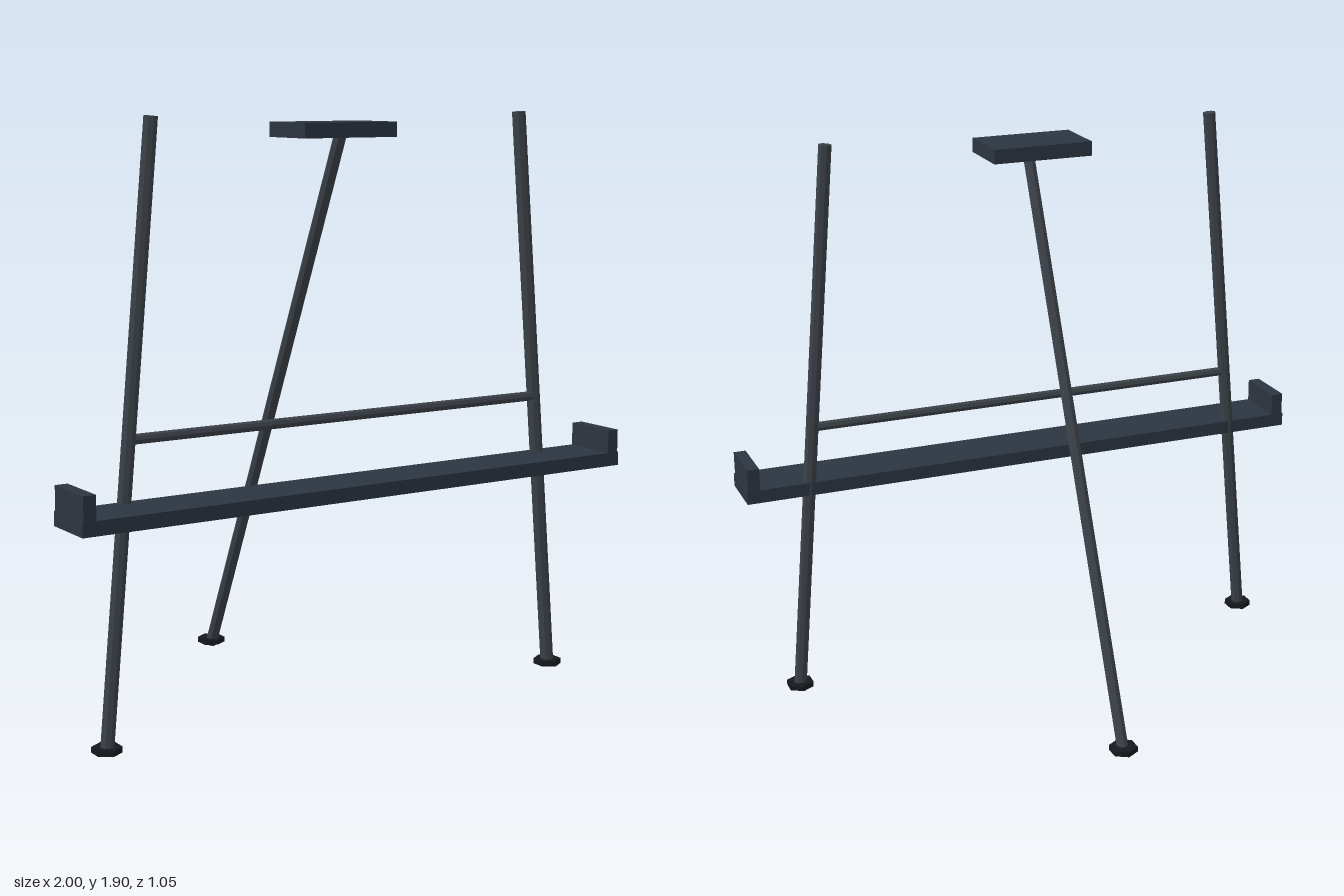
import * as THREE from 'three';

export function createModel() {
  const model = new THREE.Group();
  model.name = 'easel';

  const mat = (color) => new THREE.MeshStandardMaterial({ color, flatShading: true });
  const slate = mat(0x2c3540);
  const steel = mat(0x3b4148);
  const rubber = mat(0x15181c);

  const add = (name, geometry, material) => {
    const mesh = new THREE.Mesh(geometry, material);
    mesh.name = name;
    model.add(mesh);
    return mesh;
  };

  // Straight rod between two points
  const rod = (name, from, to, radius) => {
    const a = new THREE.Vector3(...from);
    const b = new THREE.Vector3(...to);
    const dir = b.clone().sub(a);
    const mesh = add(name, new THREE.CylinderGeometry(radius, radius, dir.length(), 8), steel);
    mesh.position.copy(a).add(b).multiplyScalar(0.5);
    mesh.quaternion.setFromUnitVectors(new THREE.Vector3(0, 1, 0), dir.normalize());
  };

  // Box given by its extents on each axis
  const box = (name, [x0, x1], [y0, y1], [z0, z1]) => {
    const mesh = add(name, new THREE.BoxGeometry(x1 - x0, y1 - y0, z1 - z0), slate);
    mesh.position.set((x0 + x1) / 2, (y0 + y1) / 2, (z0 + z1) / 2);
  };

  // Hexagonal foot pad
  const foot = (name, x, z) => {
    add(name, new THREE.CylinderGeometry(0.047, 0.047, 0.018, 6), rubber).position.set(x, 0.021, z);
  };

  // Front legs, their feet and the tray's end lips
  for (const [side, s] of [['left', 1], ['right', -1]]) {
    rod(side + 'FrontLeg', [s * 0.85, 0.01, 0.36], [s * 0.678, 1.897, 0.36], 0.022);
    foot(side + 'FrontFoot', s * 0.85, 0.36);
    const lip = s > 0 ? [0.955, 0.996] : [-0.996, -0.955];
    box(side + 'TrayLip', lip, [0.765, 0.842], [0.341, 0.524]);
  }

  // Rear leg leaning back from the head plate
  rod('rearLeg', [0, 0.008, -0.483], [0, 1.84, 0.335], 0.02);
  foot('rearFoot', 0, -0.483);

  // Crossbar, tray and head plate
  rod('crossbar', [-0.765, 0.955, 0.36], [0.765, 0.955, 0.36], 0.016);
  box('tray', [-1, 1], [0.721, 0.766], [0.34, 0.525]);
  box('headPlate', [-0.17, 0.17], [1.824, 1.871], [0.19, 0.393]);

  return model;
}
